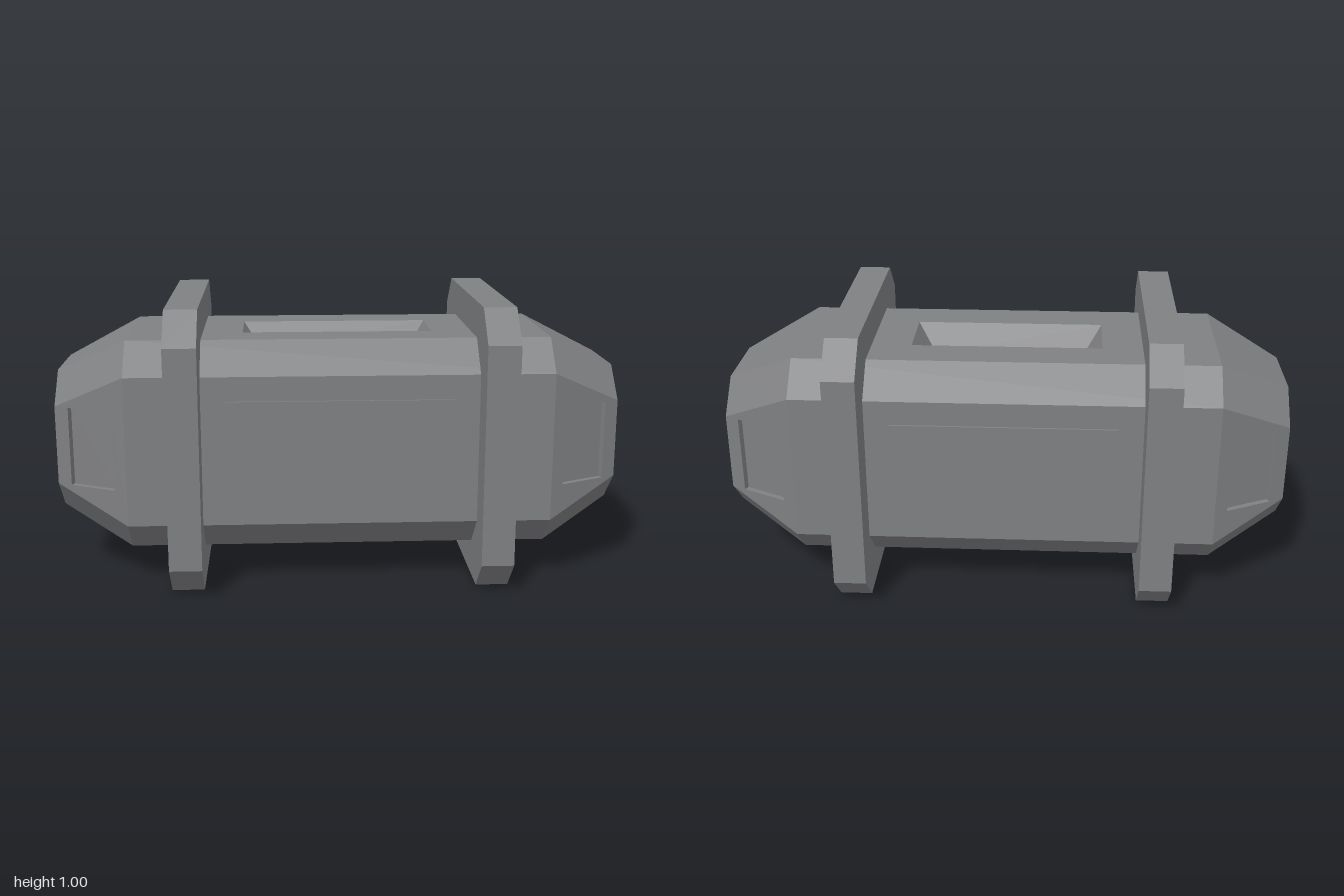
import * as THREE from 'three';

const CY = 0.5; // height of the long axis

// Chamfered square as [u, v] pairs, counterclockwise: half size h, flat half f
const octagon = (h, f) => [[h, -f], [h, f], [f, h], [-f, h], [-h, f], [-h, -f], [-f, -h], [f, -h]];

// Octagonal cross-section placed at x, counterclockwise as seen from +x
const ring = (x, h, f) => octagon(h, f).map(([u, v]) => new THREE.Vector3(x, CY + v, -u));

function buildBody() {
  const pos = [];
  const tri = (...pts) => pts.forEach((p) => pos.push(p.x, p.y, p.z));
  const quad = (a, b, c, d) => { tri(a, b, c); tri(a, c, d); };

  // Face with a sunken pocket: frame, walls and floor
  const pocket = (outer, opening, floor) => {
    for (let i = 0; i < 4; i++) {
      const j = (i + 1) % 4;
      quad(outer[i], outer[j], opening[j], opening[i]);
      quad(opening[i], opening[j], floor[j], floor[i]);
    }
    quad(...floor);
  };

  // Cross-sections from the left socket floor over the outside to the right one
  const rings = [
    ring(-0.88, 0.19, 0.115), ring(-1, 0.19, 0.115), ring(-1, 0.25, 0.14), ring(-0.745, 0.375, 0.265),
    ring(0.745, 0.375, 0.265), ring(1, 0.25, 0.14), ring(1, 0.19, 0.115), ring(0.88, 0.19, 0.115),
  ];

  // Shallow pocket on the front (sz = 1) or back (sz = -1) of a tapered end
  const taperPocket = (outer, sx, sz) => {
    const n = new THREE.Vector3(sx * 0.125, 0, sz * 0.255).normalize();
    const [lo, hi] = sx > 0 ? [0.79, 0.95] : [-0.95, -0.79];
    const opening = [[lo, 1], [lo, -1], [hi, -1], [hi, 1]].map(([x, s]) =>
      new THREE.Vector3(x, CY + s * sz * 0.14, sz * (0.375 - 0.125 * (Math.abs(x) - 0.745) / 0.255)));
    pocket(outer, opening, opening.map((p) => p.clone().addScaledVector(n, -0.02)));
  };

  // Rectangle facing up, for the top pocket
  const flat = (x, y, z) => [[-x, -z], [-x, z], [x, z], [x, -z]].map(([a, b]) => new THREE.Vector3(a, y, b));

  for (let i = 0; i < rings.length - 1; i++) {
    const a = rings[i], b = rings[i + 1];
    for (let k = 0; k < 8; k++) {
      const j = (k + 1) % 8;
      const face = [a[k], a[j], b[j], b[k]];
      const taper = i === 2 || i === 4;
      if (i === 3 && k === 2) pocket(face, flat(0.34, 0.875, 0.12), flat(0.27, 0.775, 0.05));
      else if (taper && k % 4 === 0) taperPocket(face, i === 4 ? 1 : -1, k === 4 ? 1 : -1);
      else quad(...face);
    }
  }

  // Socket floors
  const first = rings[0], last = rings[rings.length - 1];
  for (let k = 1; k < 7; k++) {
    tri(first[0], first[k + 1], first[k]);
    tri(last[0], last[k], last[k + 1]);
  }

  const geo = new THREE.BufferGeometry();
  geo.setAttribute('position', new THREE.Float32BufferAttribute(pos, 3));
  geo.computeVertexNormals();
  return geo;
}

// Octagonal flange with a hole that fits the body
function buildCollar() {
  const toPoints = (h, f) => octagon(h, f).map(([u, v]) => new THREE.Vector2(u, v));
  const shape = new THREE.Shape(toPoints(0.5, 0.388));
  shape.holes.push(new THREE.Path(toPoints(0.37, 0.262).reverse()));
  const geo = new THREE.ExtrudeGeometry(shape, { depth: 0.114, bevelEnabled: false });
  return geo.translate(0, 0, -0.057).rotateY(Math.PI / 2);
}

export function createModel() {
  const group = new THREE.Group();
  const metal = new THREE.MeshStandardMaterial({ color: 0x7f8082 });
  metal.name = 'grey metal';

  const add = (name, geometry, x, y, z) => {
    const mesh = new THREE.Mesh(geometry, metal);
    mesh.name = name;
    mesh.position.set(x, y, z);
    group.add(mesh);
  };

  add('body', buildBody(), 0, 0, 0);

  const collar = buildCollar();
  add('leftCollar', collar, 0.54, CY, 0);
  add('rightCollar', collar, -0.54, CY, 0);

  // Thin raised plates on the long sides
  const plate = new THREE.BoxGeometry(0.79, 0.35, 0.009);
  add('frontPlate', plate, 0, CY + 0.004, 0.3785);
  add('backPlate', plate, 0, CY + 0.004, -0.3785);

  return group;
}
